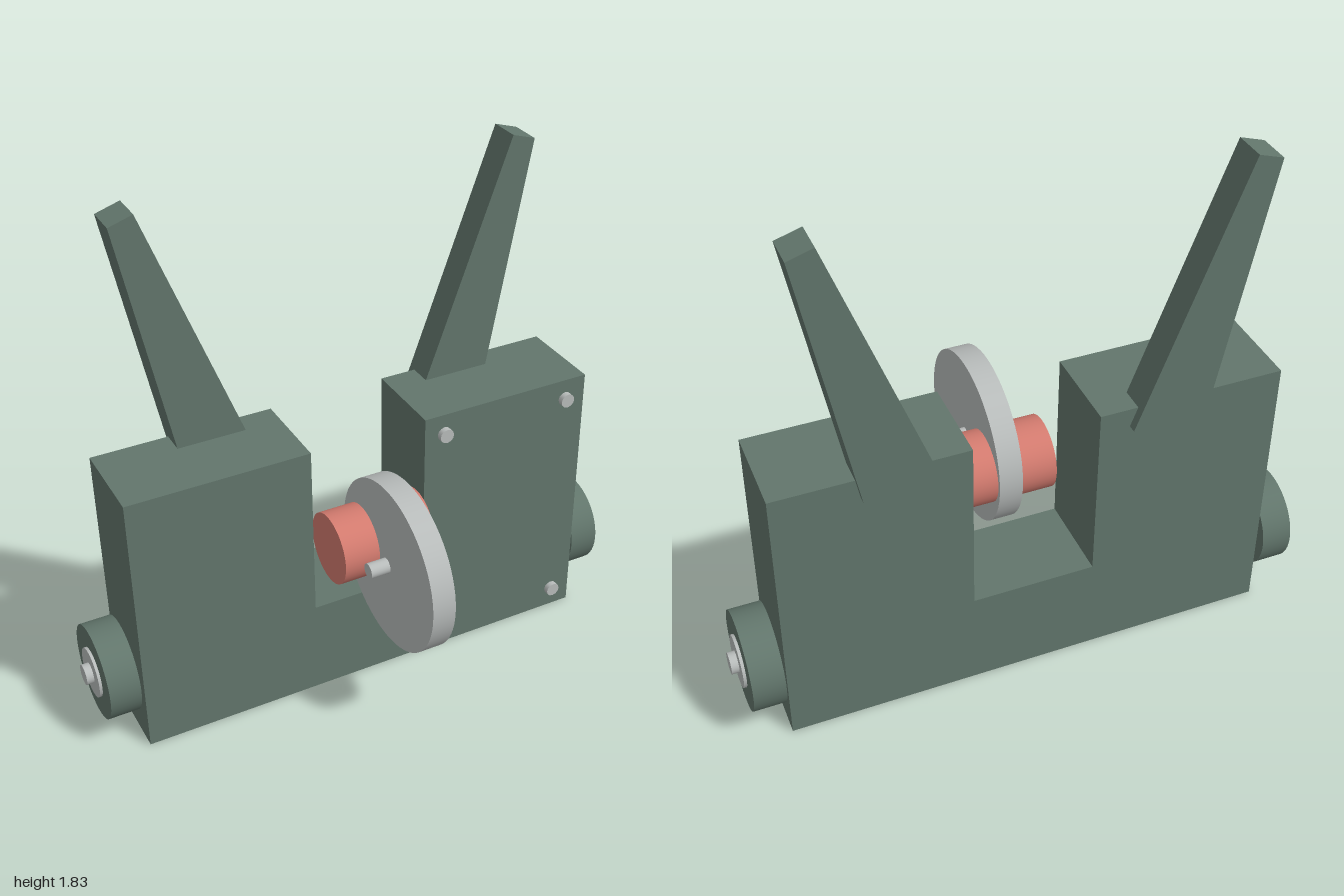
import * as THREE from 'three';

const green = new THREE.MeshStandardMaterial({ color: 0x62766c });
green.name = 'dull green';
const grey = new THREE.MeshStandardMaterial({ color: 0xb8bcbb });
grey.name = 'light grey';
const red = new THREE.MeshStandardMaterial({ color: 0xd37b6f });
red.name = 'coral red';

export function createModel() {
  const model = new THREE.Group();
  model.name = 'wheeledMachine';

  const add = (name, geometry, material, x = 0, y = 0, z = 0) => {
    const mesh = new THREE.Mesh(geometry, material);
    mesh.name = name;
    mesh.position.set(x, y, z);
    model.add(mesh);
    return mesh;
  };
  // Plate cut from an outline in x and y, running from zBack to zFront
  const plate = (name, points, zBack, zFront) => {
    const shape = new THREE.Shape(points.map(([x, y]) => new THREE.Vector2(x, y)));
    const geometry = new THREE.ExtrudeGeometry(shape, { depth: zFront - zBack, bevelEnabled: false });
    return add(name, geometry, green, 0, 0, zBack);
  };
  // Cylinder lying along x between x0 and x1
  const rod = (name, r, x0, x1, y, z, material, sides = 48) => {
    const geometry = new THREE.CylinderGeometry(r, r, Math.abs(x1 - x0), sides).rotateZ(Math.PI / 2);
    return add(name, geometry, material, (x0 + x1) / 2, y, z);
  };

  // U-shaped body with the slot open at the top
  plate('body', [
    [-0.848, 0], [0.848, 0], [0.848, 0.992], [0.21, 0.992],
    [0.21, 0.355], [-0.212, 0.355], [-0.212, 0.992], [-0.848, 0.992],
  ], -0.398, -0.088);

  for (const [side, s] of [['left', 1], ['right', -1]]) {
    // Slanted tapering prong, lapped over the back of the body
    plate(side + 'Prong', [
      [s * 0.315, 0.925], [s * 0.567, 0.925], [s * 0.733, 1.8], [s * 0.65, 1.826],
    ], -0.427, -0.315);

    // Wheel, hub and axle
    rod(side + 'Wheel', 0.168, s * 0.857, s * 0.965, 0.243, -0.26, green);
    rod(side + 'Hub', 0.088, s * 0.84, s * 0.975, 0.243, -0.26, grey);
    rod(side + 'Axle', 0.036, s * 0.84, s * 1.0, 0.243, -0.26, grey, 24);
  }

  // Corner rivets on the left half of the front
  for (const x of [0.285, 0.77]) {
    for (const y of [0.08, 0.917]) {
      const geometry = new THREE.CylinderGeometry(0.026, 0.026, 0.03, 12).rotateX(Math.PI / 2);
      add('rivet', geometry, grey, x, y, -0.083);
    }
  }

  // Drum in the slot, with the slightly oval blade and its pin
  rod('drum', 0.126, -0.169, 0.167, 0.613, -0.061, red);
  rod('blade', 0.297, -0.042, 0.04, 0.613, 0.111, grey, 64).scale.z = 1.045;
  rod('bladePin', 0.027, -0.111, 0.109, 0.613, 0.111, grey, 24);

  return model;
}
